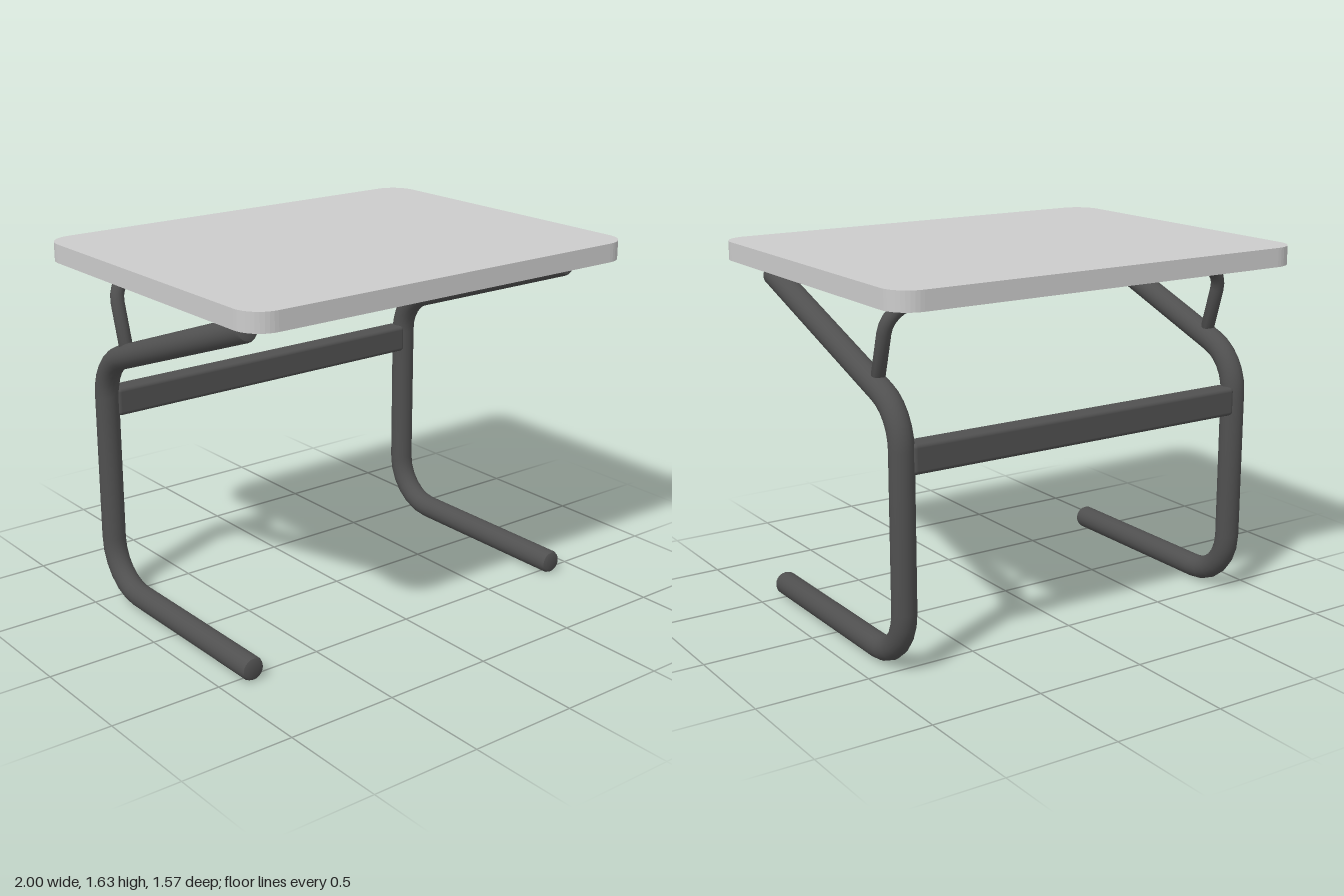
import * as THREE from 'three';
import { toCreasedNormals } from 'three/addons/utils/BufferGeometryUtils.js';
import { RoundedBoxGeometry } from 'three/addons/geometries/RoundedBoxGeometry.js';

const V = (x, y, z) => new THREE.Vector3(x, y, z);

// Rounds the inner corners of a planar polyline with circular arcs; returns centres with tangents.
function filletPath(corners, radius, steps) {
  const path = [];
  const dir = (i) => corners[i + 1].clone().sub(corners[i]).normalize();
  path.push({ p: corners[0].clone(), t: dir(0) });
  for (let i = 1; i < corners.length - 1; i++) {
    const a = dir(i - 1), b = dir(i);
    const turn = a.angleTo(b);
    const axis = a.clone().cross(b).normalize();
    const start = corners[i].clone().addScaledVector(a, -radius * Math.tan(turn / 2));
    const centre = start.clone().addScaledVector(axis.clone().cross(a), radius);
    for (let s = 0; s <= steps; s++) {
      const angle = (turn * s) / steps;
      path.push({
        p: start.clone().sub(centre).applyAxisAngle(axis, angle).add(centre),
        t: a.clone().applyAxisAngle(axis, angle),
      });
    }
  }
  path.push({ p: corners[corners.length - 1].clone(), t: dir(corners.length - 2) });
  return path;
}

// Sweeps a round tube with bevelled, closed ends along a planar path.
function tube(corners, radius, bend, steps, bevel, sides = 20) {
  const path = filletPath(corners, bend, steps);
  const normal = corners[1].clone().sub(corners[0]).cross(corners[2].clone().sub(corners[1])).normalize();
  const rings = path.map(({ p, t }) => ({ p, t, r: radius }));
  const cap = (end, sign) => {
    const at = (back, r) => ({ p: end.p.clone().addScaledVector(end.t, -sign * back), t: end.t, r });
    return [at(0, 0), at(0, radius - bevel), at(bevel * 0.3, radius - bevel * 0.3), at(bevel, radius)];
  };
  const first = cap(rings[0], -1);
  const last = cap(rings[rings.length - 1], 1).reverse();
  const all = [...first, ...rings.slice(1, -1), ...last];

  const pos = [], index = [];
  all.forEach(({ p, t, r }, i) => {
    const side = t.clone().cross(normal);
    for (let j = 0; j < sides; j++) {
      const a = (j / sides) * Math.PI * 2;
      const v = p.clone().addScaledVector(normal, r * Math.cos(a)).addScaledVector(side, r * Math.sin(a));
      pos.push(v.x, v.y, v.z);
      if (i === 0) continue;
      const k = (j + 1) % sides, lo = (i - 1) * sides, hi = i * sides;
      if (i > 1) index.push(lo + j, hi + k, lo + k);
      else index.push(lo + j, hi + j, hi + k);
      if (i > 1 && i < all.length - 1) index.push(lo + j, hi + j, hi + k);
    }
  });
  // Make the winding face outwards: normal x side runs against the tangent.
  for (let i = 0; i < index.length; i += 3) [index[i + 1], index[i + 2]] = [index[i + 2], index[i + 1]];
  const geo = new THREE.BufferGeometry();
  geo.setAttribute('position', new THREE.Float32BufferAttribute(pos, 3));
  geo.setIndex(index);
  // Confirm orientation through the signed volume and flip if needed.
  let volume = 0;
  const at = (i) => V(pos[3 * i], pos[3 * i + 1], pos[3 * i + 2]);
  for (let i = 0; i < index.length; i += 3) volume += at(index[i]).dot(at(index[i + 1]).cross(at(index[i + 2])));
  if (volume < 0) geo.setIndex(index.reverse());
  return toCreasedNormals(geo, 0.6);
}

export function createModel() {
  const group = new THREE.Group();
  const grey = new THREE.MeshStandardMaterial({ color: 0xcccccc });
  const dark = new THREE.MeshStandardMaterial({ color: 0x505050 });
  const add = (name, geo, mat) => {
    const mesh = new THREE.Mesh(geo, mat);
    mesh.name = name;
    group.add(mesh);
    return mesh;
  };

  // Table top: rounded rectangle slab
  const w = 1, d = 0.785, r = 0.12;
  const outline = new THREE.Shape();
  outline.moveTo(-w + r, -d);
  outline.absarc(w - r, -d + r, r, -Math.PI / 2, 0);
  outline.absarc(w - r, d - r, r, 0, Math.PI / 2);
  outline.absarc(-w + r, d - r, r, Math.PI / 2, Math.PI);
  outline.absarc(-w + r, -d + r, r, Math.PI, Math.PI * 1.5);
  const slab = new THREE.ExtrudeGeometry(outline, { depth: 0.083, bevelEnabled: false, curveSegments: 5 });
  slab.rotateX(-Math.PI / 2);
  add('tableTop', slab, grey).position.y = 1.545;

  // Bent side legs: foot, upright and sloping arm
  for (const [name, x] of [['leftLeg', 0.858], ['rightLeg', -0.858]]) {
    const corners = [V(x, 0.053, 0.55), V(x, 0.053, -0.552), V(x, 1.106, -0.552), V(x, 1.5, 0.55)];
    add(name, tube(corners, 0.053, 0.22, 6, 0.018), dark);
  }

  // Crossbar between the uprights
  const bar = add('crossbar', new RoundedBoxGeometry(1.655, 0.128, 0.096, 3, 0.018), dark);
  bar.position.set(0, 0.917, -0.552);

  // Thin U-shaped rear support under the top
  const hoop = [V(-0.855, 1.18, -0.362), V(-0.855, 1.513, -0.46), V(0.855, 1.513, -0.46), V(0.855, 1.18, -0.362)];
  add('rearSupport', tube(hoop, 0.03, 0.12, 6, 0.004, 16), dark);

  return group;
}
